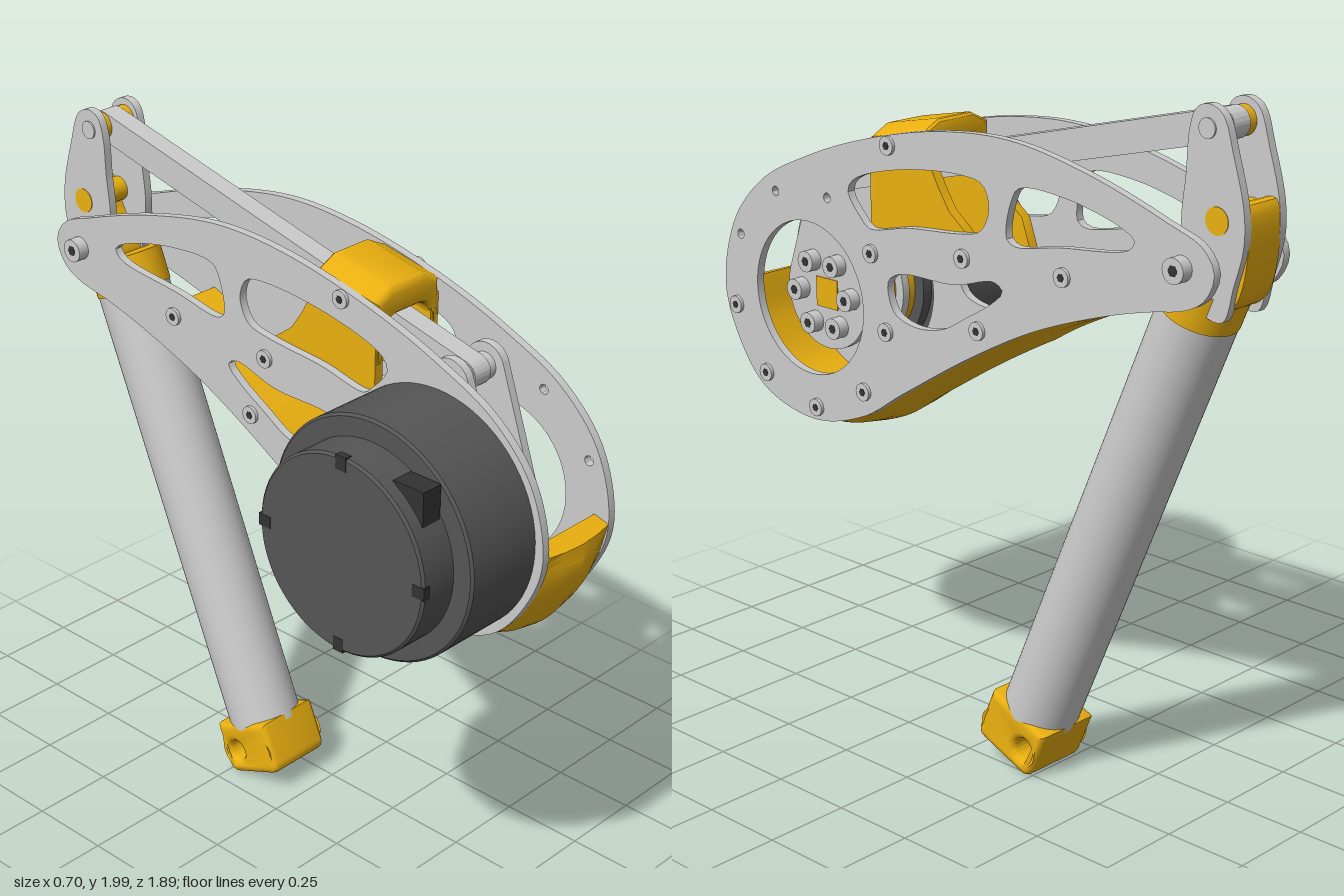
import * as THREE from 'three';
import { toCreasedNormals } from 'three/addons/utils/BufferGeometryUtils.js';

// Side profiles are given as [u, y] with u = -z, and extruded along x.
const mat = c => new THREE.MeshStandardMaterial({ color: c, side: THREE.DoubleSide });
const GREY = mat(0xcccccc), YELLOW = mat(0xeab010), DARK = mat(0x555555), BLACK = mat(0x333333);
const HIP = [-0.563, 1.262], KNEE = [0.807, 1.6], TOP_PIN = [0.823, 1.94], CRANK_PIN = [-0.55, 1.6];
const OUT = 0.315, IN = 0.015, T = 0.025;

function add(parent, name, geo, material) {
  const m = new THREE.Mesh(geo, material);
  m.name = name;
  parent.add(m);
  return m;
}

function spline(pts, n, closed = true) {
  const c = new THREE.CatmullRomCurve3(pts.map(p => new THREE.Vector3(p[0], p[1], 0)), closed, 'centripetal');
  return c.getSpacedPoints(n).map(p => new THREE.Vector2(p.x, p.y));
}

const circle = ([u, y], r) => new THREE.Path().absarc(u, y, r, 0, Math.PI * 2, false);

// Extrude a side profile from x0 to x1
function slab(shape, x0, x1, bevel = 0) {
  const g = new THREE.ExtrudeGeometry(shape, {
    depth: x1 - x0 - 2 * bevel, curveSegments: 32, bevelEnabled: bevel > 0,
    bevelSize: bevel, bevelThickness: bevel, bevelOffset: -bevel, bevelSegments: 3,
  });
  g.translate(0, 0, x0 + bevel).rotateY(Math.PI / 2);
  return toCreasedNormals(g, 0.6);
}

// Cylinder along x
function rod(parent, name, [u, y], r, x0, x1, material, seg = 32) {
  const g = new THREE.CylinderGeometry(r, r, x1 - x0, seg);
  g.rotateZ(Math.PI / 2).translate((x0 + x1) / 2, y, -u);
  return add(parent, name, g, material);
}

// Screw head with a hexagonal socket, facing dir along x
function screw(parent, name, p, r, x, h, dir) {
  rod(parent, name, p, r, Math.min(x, x + dir * h), Math.max(x, x + dir * h), GREY, 24);
  const e = x + dir * (h + 0.001);
  rod(parent, name + 'Socket', p, r * 0.45, Math.min(x, e), Math.max(x, e), BLACK, 6);
}

// Bar outline: two circles joined by tangents
function bar([u1, y1], r1, [u2, y2], r2) {
  const a = Math.atan2(y2 - y1, u2 - u1);
  const t = Math.acos((r1 - r2) / Math.hypot(u2 - u1, y2 - y1));
  const s = new THREE.Shape();
  s.absarc(u1, y1, r1, a + t, a - t + Math.PI * 2, false);
  s.absarc(u2, y2, r2, a - t, a + t, false);
  return s;
}

const LOWER = [[-0.932, 1.24], [-0.89, 1.1], [-0.775, 0.957], [-0.56, 0.9], [-0.35, 0.953], [-0.19, 1.053],
  [0.07, 1.212], [0.31, 1.337], [0.55, 1.426], [0.7, 1.468]];
const UPPER = [[0.82, 1.495], [0.88, 1.53], [0.91, 1.6], [0.875, 1.66], [0.76, 1.706], [0.5, 1.786], [0.23, 1.833],
  [-0.03, 1.82], [-0.33, 1.755], [-0.56, 1.675], [-0.75, 1.58], [-0.88, 1.44]];
const SLOTS = [
  [[-0.39, 1.6], [-0.37, 1.635], [-0.2, 1.69], [0.06, 1.715], [0.13, 1.7], [0.152, 1.64], [0.12, 1.575], [0.05, 1.556],
    [-0.15, 1.537], [-0.31, 1.51], [-0.335, 1.53]],
  [[0.26, 1.712], [0.44, 1.71], [0.63, 1.66], [0.655, 1.64], [0.635, 1.615], [0.4, 1.58], [0.24, 1.556], [0.215, 1.575], [0.235, 1.68]],
  [[-0.235, 1.37], [-0.19, 1.4], [0.02, 1.41], [0.17, 1.445], [0.2, 1.425], [0.16, 1.385], [0.07, 1.33], [-0.03, 1.275],
    [-0.14, 1.262], [-0.215, 1.29]],
];
const SCREWS = [[-0.225, 1.754], [-0.3, 1.44], [0.055, 1.49], [0.415, 1.505], [0.11, 1.3], [-0.245, 1.225],
  [-0.34, 1.03], [-0.54, 0.94], [-0.755, 1.0], [-0.88, 1.183]];

// Yellow trough closing the underside between the side plates
function troughGeometry() {
  const path = spline(LOWER.slice(0, 9), 80, false), n = path.length, pos = [], idx = [];
  const section = [[0.04, 0, 0], [0.1, 0, 0.024], [0.165, 0, 0.034], [0.23, 0, 0.024], [0.29, 0, 0], [0.29, -0.05, 0], [0.04, -0.05, 0]];
  const k = section.length;
  path.forEach((p, i) => {
    const t = path[Math.min(i + 1, n - 1)].clone().sub(path[Math.max(i - 1, 0)]).normalize();
    const fade = Math.min(1, (n - 1 - i) / 15, 0.4 + i / 4);
    for (const [x, base, bulge] of section) {
      const o = base + bulge * fade;
      pos.push(x, p.y - t.x * o, -(p.x + t.y * o));
    }
  });
  for (let i = 0; i < n - 1; i++) for (let j = 0; j < k; j++) {
    const a = i * k + j, b = i * k + (j + 1) % k;
    idx.push(a, a + k, b, b, a + k, b + k);
  }
  const e = (n - 1) * k;
  for (let j = 1; j < k - 1; j++) idx.push(0, j, j + 1, e, e + j + 1, e + j);
  const g = new THREE.BufferGeometry();
  g.setAttribute('position', new THREE.Float32BufferAttribute(pos, 3));
  g.setIndex(idx);
  return toCreasedNormals(g, 0.25);
}

// Arch over the push rod, sheared to follow the thigh's top edge
function archGeometry() {
  const s = new THREE.Shape();
  s.moveTo(0.04, 1.6); s.lineTo(0.065, 1.6); s.lineTo(0.065, 1.66);
  s.quadraticCurveTo(0.07, 1.725, 0.12, 1.73); s.lineTo(0.21, 1.73);
  s.quadraticCurveTo(0.26, 1.725, 0.265, 1.66); s.lineTo(0.265, 1.6); s.lineTo(0.29, 1.6);
  s.lineTo(0.29, 1.785); s.lineTo(0.23, 1.815); s.lineTo(0.1, 1.815); s.lineTo(0.04, 1.785);
  const g = new THREE.ExtrudeGeometry(s, { depth: 0.18, bevelSize: 0.02, bevelThickness: 0.02, bevelOffset: -0.02, bevelSegments: 3 });
  g.translate(0, 0, 0.13);
  const p = g.attributes.position;
  for (let i = 0; i < p.count; i++) p.setY(i, p.getY(i) + (0.2 - p.getZ(i)) * 0.2);
  return toCreasedNormals(g, 0.5);
}

export function createModel() {
  const model = new THREE.Group();
  model.name = 'robotLeg';

  // Side plates of the thigh
  const thigh = new THREE.Group();
  thigh.name = 'thigh';
  model.add(thigh);
  const plate = new THREE.Shape(spline([...LOWER, ...UPPER], 160));
  plate.holes = SLOTS.map(s => new THREE.Path(spline(s, 60)));
  plate.holes.push(circle(HIP, 0.225));
  for (const p of [[-0.695, 1.553], [-0.855, 1.4], [-0.477, 1.568]]) plate.holes.push(circle(p, 0.014));
  add(thigh, 'outerPlate', slab(plate, OUT - T, OUT), GREY);
  add(thigh, 'innerPlate', slab(plate, IN, IN + T), GREY);
  SCREWS.forEach((p, i) => {
    screw(thigh, 'plateScrew', p, 0.026, OUT, 0.01, 1);
    if (i < 5) screw(thigh, 'plateScrew', p, 0.026, IN, 0.01, -1);
  });
  add(thigh, 'trough', troughGeometry(), YELLOW);
  add(thigh, 'arch', archGeometry(), YELLOW);
  const web = new THREE.Shape([[-0.325, 1.72], [-0.325, 1.47], [0.07, 1.47], [0.04, 1.555], [-0.02, 1.6], [-0.06, 1.66], [-0.11, 1.75]]
    .map(p => new THREE.Vector2(...p)));
  for (const x of [0.04, 0.26]) add(thigh, 'archWeb', slab(web, x, x + 0.03), YELLOW);

  // Hip motor
  const motor = new THREE.Group();
  motor.name = 'motor';
  model.add(motor);
  const profile = [[0, -0.045], [0.19, -0.045], [0.19, -0.013], [0.344, -0.013], [0.344, 0.228], [0.337, 0.235],
    [0.283, 0.235], [0.283, 0.343], [0.276, 0.35], [0, 0.35]].map(p => new THREE.Vector2(...p));
  const body = toCreasedNormals(new THREE.LatheGeometry(profile, 72).rotateZ(Math.PI / 2), 0.5);
  add(motor, 'motorBody', body.translate(0, HIP[1], -HIP[0]), DARK);
  for (let i = 0; i < 4; i++) {
    const a = i * Math.PI / 2, g = new THREE.BoxGeometry(0.022, 0.035, 0.04);
    g.translate(-0.34, 0, 0.265).rotateX(a).translate(0, HIP[1], -HIP[0]);
    add(motor, 'capNotch', g, BLACK);
    const b = a + 0.6;
    screw(motor, 'motorScrew', [HIP[0] + 0.29 * Math.cos(b), HIP[1] + 0.29 * Math.sin(b)], 0.026, IN + T, 0.025, 1);
  }
  add(motor, 'connector', new THREE.BoxGeometry(0.065, 0.12, 0.1).translate(-0.275, 1.455, 0.75), BLACK);

  // Crank on the motor output
  const crank = new THREE.Group();
  crank.name = 'crank';
  model.add(crank);
  const crankShape = bar(HIP, 0.165, CRANK_PIN, 0.065);
  for (const x of [0.077, 0.22]) add(crank, 'crankPlate', slab(crankShape, x, x + T), GREY);
  rod(crank, 'crankFlange', HIP, 0.155, 0.04, 0.077, YELLOW, 48);
  rod(crank, 'crankHub', HIP, 0.135, 0.1, 0.221, YELLOW, 48);
  add(crank, 'hubSquare', new THREE.BoxGeometry(0.05, 0.088, 0.088).translate(0.223, HIP[1], -HIP[0]), YELLOW);
  for (let i = 0; i < 6; i++) {
    const a = 0.02 + i * Math.PI / 3;
    screw(crank, 'hubBolt', [HIP[0] + 0.105 * Math.cos(a), HIP[1] + 0.105 * Math.sin(a)], 0.031, 0.245, 0.035, 1);
  }
  rod(crank, 'crankPin', CRANK_PIN, 0.038, 0.1, 0.22, GREY);

  // Push rod from crank to knee lever
  add(model, 'pushRod', slab(bar(CRANK_PIN, 0.042, TOP_PIN, 0.042), 0.132, 0.195), GREY);

  // Knee lever
  const lever = new THREE.Group();
  lever.name = 'kneeLever';
  model.add(lever);
  const leverShape = new THREE.Shape(spline([[0.823, 2], [0.868, 1.98], [0.905, 1.88], [0.94, 1.75], [0.942, 1.66], [0.915, 1.56],
    [0.88, 1.46], [0.79, 1.49], [0.76, 1.58], [0.745, 1.7], [0.757, 1.82], [0.765, 1.93], [0.785, 1.985]], 80));
  for (const x of [0.08, 0.22]) add(lever, 'leverPlate', slab(leverShape, x, x + T), GREY);
  const block = new THREE.Shape(spline([[0.93, 1.76], [0.942, 1.66], [0.9, 1.5], [0.8, 1.47], [0.77, 1.55], [0.84, 1.66], [0.88, 1.75]], 50));
  add(lever, 'leverBlock', slab(block, 0.1, 0.225), YELLOW);
  rod(lever, 'leverPeg', [0.858, 1.715], 0.036, 0.078, 0.247, YELLOW);
  rod(lever, 'topPin', TOP_PIN, 0.026, 0.075, 0.25, GREY);
  for (const x of [0.104, 0.194]) rod(lever, 'topSpacer', TOP_PIN, 0.04, x, x + 0.028, YELLOW);

  // Knee axle
  rod(model, 'kneeAxle', KNEE, 0.025, IN, OUT, GREY);
  for (const x of [0.04, 0.245]) rod(model, 'kneeSpacer', KNEE, 0.04, x, x + 0.043, GREY);
  screw(model, 'kneeBolt', KNEE, 0.034, OUT, 0.035, 1);
  screw(model, 'kneeBolt', KNEE, 0.034, IN, 0.035, -1);

  // Shank, built straight down from the knee and then tilted
  const shank = new THREE.Group();
  shank.name = 'shank';
  shank.position.set(0, KNEE[1], -KNEE[0]);
  shank.rotation.x = -0.402;
  model.add(shank);
  const column = (r, y0, y1) => new THREE.CylinderGeometry(r, r, y1 - y0, 48).translate(0.162, (y0 + y1) / 2, 0);
  add(shank, 'shankTube', column(0.109, -1.55, -0.15), GREY);
  add(shank, 'shankCollar', column(0.112, -0.165, -0.06), YELLOW);
  const w = 0.108, y0 = -1.692, y1 = -1.53, r = 0.035;
  const foot = new THREE.Shape();
  foot.moveTo(-w, y1); foot.lineTo(-w, y0 + r); foot.quadraticCurveTo(-w, y0, -w + r, y0);
  foot.lineTo(w - r, y0); foot.quadraticCurveTo(w, y0, w, y0 + r); foot.lineTo(w, y1);
  foot.holes = [-0.055, 0.055].map(u => circle([u, -1.62], 0.031));
  add(shank, 'foot', slab(foot, 0.053, 0.271, 0.02), YELLOW);
  return model;
}
